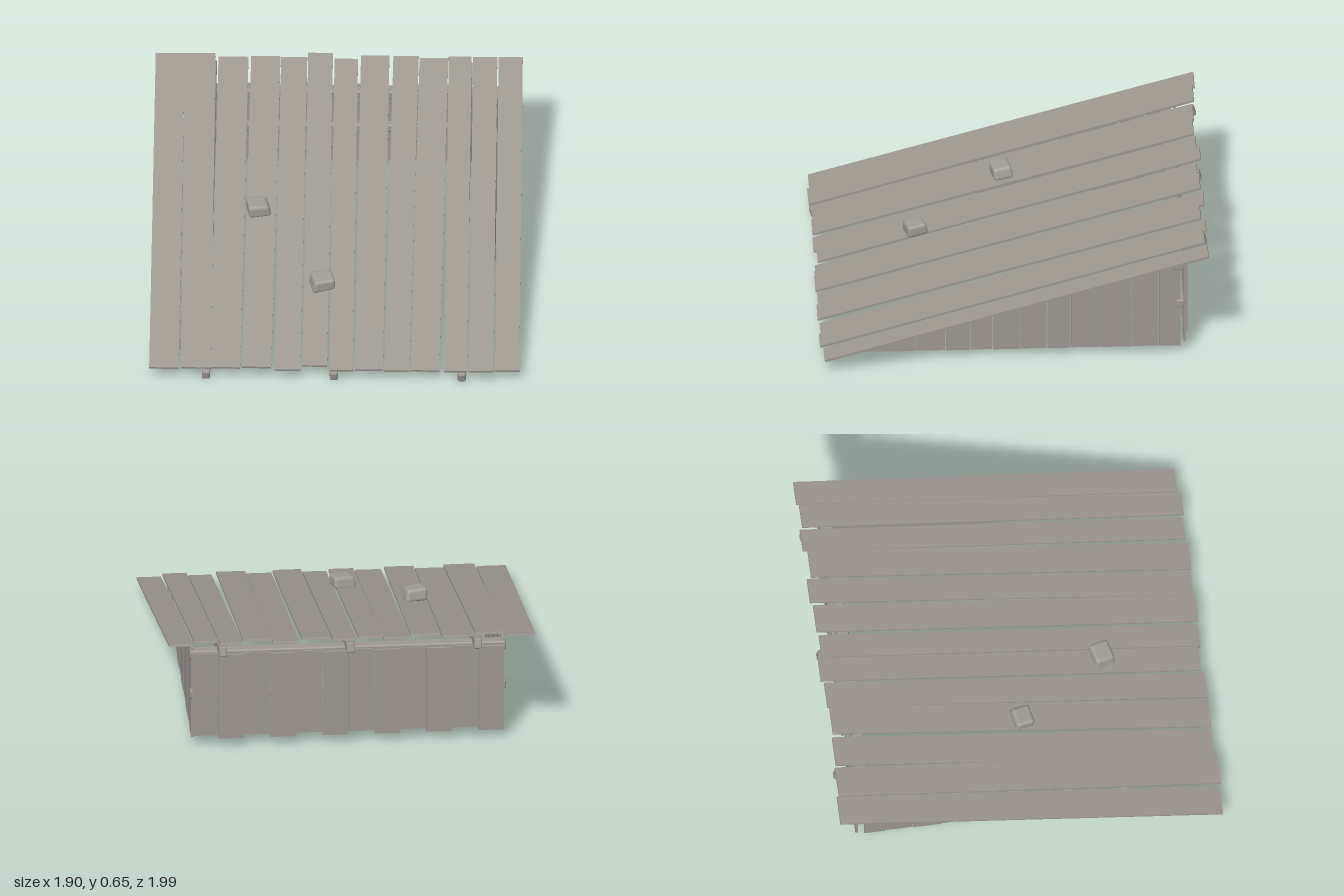
import * as THREE from 'three';
import { RoundedBoxGeometry } from 'three/addons/geometries/RoundedBoxGeometry.js';

const PITCH = 0.2757;
const COS = Math.cos(PITCH);

export function createModel() {
  const model = new THREE.Group();
  model.name = 'leanToRoof';
  const wood = new THREE.MeshStandardMaterial({ name: 'weathered wood', color: 0x9d9890 });
  const stone = new THREE.MeshStandardMaterial({ name: 'grey stone', color: 0xa09c95 });

  function add(parent, name, geometry, material, x, y, z) {
    const mesh = new THREE.Mesh(geometry, material);
    mesh.name = name;
    mesh.position.set(x, y, z);
    parent.add(mesh);
    return mesh;
  }

  // Sloping roof, with its upper surface at local y = 0
  const roof = new THREE.Group();
  roof.name = 'roof';
  roof.position.y = 0.375;
  roof.rotation.x = PITCH;
  model.add(roof);

  // Uneven planks: x at back, x at front, width, z at back, z at front
  const planks = [
    [-0.878, -0.876, 0.15, -0.99, 0.985],
    [-0.726, -0.71, 0.157, -0.983, 0.992],
    [-0.554, -0.562, 0.154, -0.972, 0.98],
    [-0.388, -0.401, 0.15, -0.968, 0.985],
    [-0.243, -0.243, 0.134, -0.973, 0.99],
    [-0.108, -0.103, 0.127, -0.992, 0.972],
    [0.024, 0.032, 0.12, -0.966, 0.99],
    [0.172, 0.174, 0.146, -0.978, 0.995],
    [0.33, 0.317, 0.13, -0.987, 0.99],
    [0.473, 0.462, 0.147, -0.967, 0.996],
    [0.607, 0.619, 0.117, -0.987, 0.99],
    [0.736, 0.75, 0.124, -0.977, 0.996],
    [0.866, 0.883, 0.124, -0.987, 0.982],
  ];
  planks.forEach(([xb, xf, w, zb, zf], i) => {
    const length = (zf - zb) / COS;
    const plank = add(roof, 'roofPlank', new THREE.BoxGeometry(w, 0.012, length), wood,
      (xb + xf) / 2, i % 2 ? -0.006 : -0.0185, (zb + zf) / 2 / COS);
    plank.rotation.y = -(xb - xf) / length;
  });

  // Rafters under the planks
  for (const x of [-0.66, -0.005, 0.65]) {
    add(roof, 'rafter', new RoundedBoxGeometry(0.042, 0.056, 2.05, 1, 0.009), wood, x, -0.062, 0.013);
  }

  // Stepped side walls: board edges along z and board tops
  const edges = [0.775, 0.665, 0.507, 0.351, 0.223, 0.11, -0.035, -0.169, -0.292, -0.453, -0.603, -0.743, -0.855];
  const tops = [0.123, 0.16, 0.206, 0.247, 0.279, 0.316, 0.357, 0.394, 0.434, 0.477, 0.515, 0.552];
  for (const side of [-1, 1]) {
    const wall = new THREE.Group();
    wall.name = side > 0 ? 'leftWall' : 'rightWall';
    model.add(wall);
    tops.forEach((top, i) => {
      const h = top - 0.047;
      add(wall, 'wallBoard', new THREE.BoxGeometry(0.014, h, edges[i] - edges[i + 1] - 0.004), wood,
        side * (i % 2 ? 0.797 : 0.794), 0.047 + h / 2, (edges[i] + edges[i + 1]) / 2);
    });
  }

  // Back wall of overlapping vertical boards
  const backWall = new THREE.Group();
  backWall.name = 'backWall';
  model.add(backWall);
  const count = 12;
  const step = 1.6 / count;
  for (let i = 0; i < count; i++) {
    const bottom = i % 2 ? 0.068 : 0.056;
    const h = 0.53 - bottom;
    add(backWall, 'backBoard', new THREE.BoxGeometry(step - 0.002, h, 0.014), wood,
      -0.8 + step * (i + 0.5), bottom + h / 2, i % 2 ? -0.876 : -0.892);
  }

  // Rails that carry the back boards
  add(model, 'topRail', new RoundedBoxGeometry(1.626, 0.046, 0.062, 1, 0.009), wood, 0, 0.52, -0.843);
  add(model, 'middleRail', new RoundedBoxGeometry(1.626, 0.046, 0.046, 1, 0.009), wood, 0, 0.297, -0.852);

  // Weight stones: rounded blocks, skewed and tapered
  function addStone(x, y, z, w, d, yaw, roll, lean) {
    const geometry = new RoundedBoxGeometry(w, 0.066, d, 2, 0.016);
    const p = geometry.attributes.position;
    for (let i = 0; i < p.count; i++) {
      const t = p.getY(i) / 0.066;
      p.setX(i, p.getX(i) * (1 - t * 0.14) + lean * t);
      p.setZ(i, p.getZ(i) * (1 - t * 0.12));
      p.setY(i, p.getY(i) * (1 - p.getX(i) * 1.2));
    }
    geometry.computeVertexNormals();
    const mesh = add(model, 'weightStone', geometry, stone, x, y, z);
    mesh.rotation.set(0.12, yaw, roll);
  }
  addStone(-0.41, 0.409, 0.015, 0.112, 0.1, 0.2, -0.04, -0.01);
  addStone(-0.073, 0.274, 0.47, 0.114, 0.104, 0.26, 0.04, 0.01);

  return model;
}
